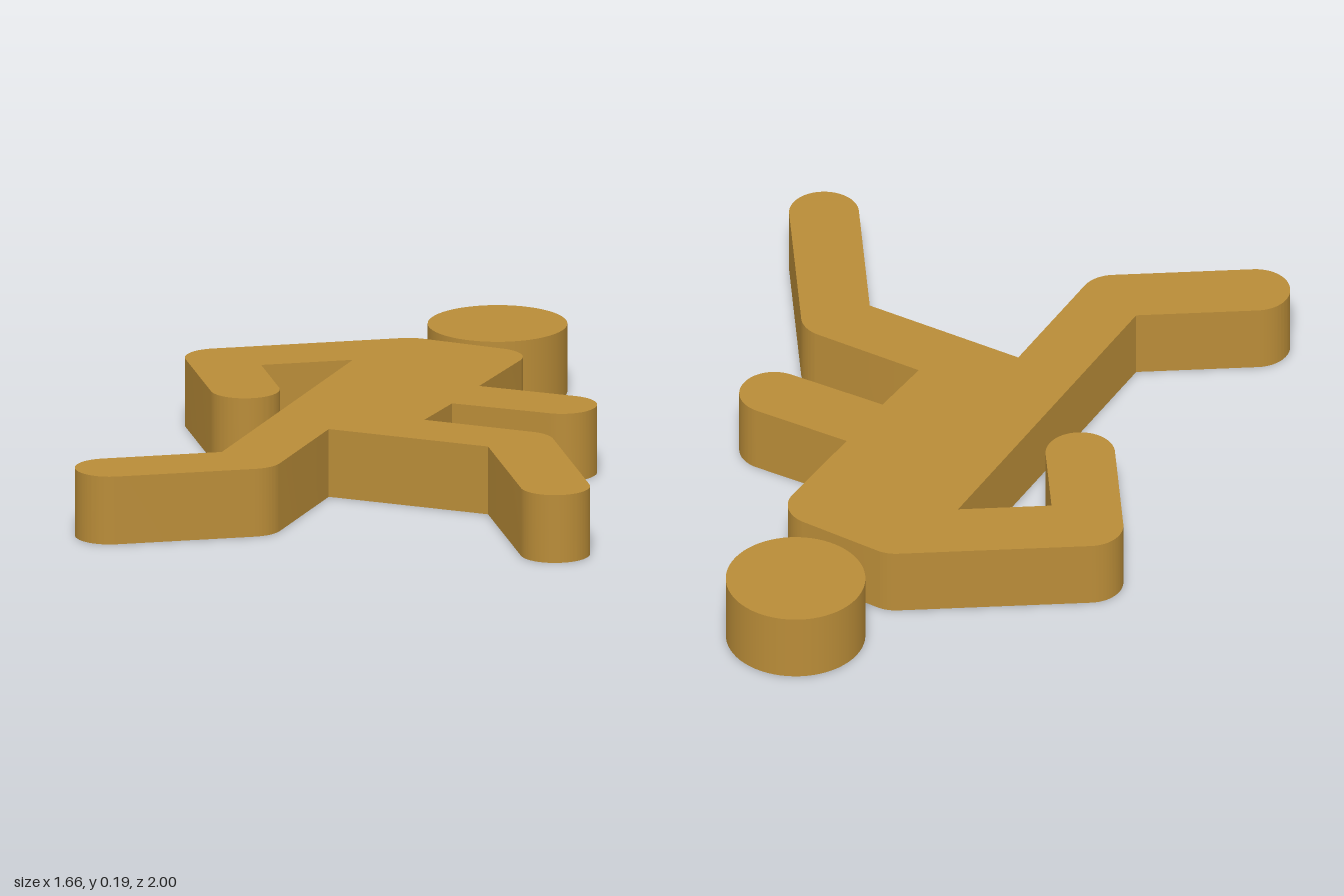
import * as THREE from 'three';
import { toCreasedNormals } from 'three/addons/utils/BufferGeometryUtils.js';

const HEIGHT = 0.195;
const R = 0.096; // rounding of limb ends and joints

// Clockwise outline seen from above: [x, z, rounded]
const OUTLINE = [
  [-0.293, -0.71, 1], [0.372, -0.71, 1], [0.666, -0.488, 1],      // elbow, neck, shoulder
  [0.447, -0.172], [0.766, 0.039, 1], [0.66, 0.202, 1], [0.336, -0.008], // forward arm
  [0.225, 0.146], [0.534, 0.36, 1], [0.534, 1, 1], [0.34, 1, 1], [0.34, 0.458], // front leg
  [-0.055, 0.187], [-0.29, 0.556, 1], [-0.83, 0.556, 1], [-0.83, 0.362, 1], [-0.395, 0.362], // rear leg
  [0.16, -0.513], [-0.1, -0.513], [-0.1, -0.175, 1], [-0.293, -0.175, 1], // rear arm
];

// Polygon whose flagged convex corners become tangent arcs
function roundedOutline(points) {
  const shape = new THREE.Shape();
  const v = points.map(([x, z]) => new THREE.Vector2(x, -z));
  const n = v.length;
  v.forEach((p, i) => {
    const d1 = p.clone().sub(v[(i + n - 1) % n]).normalize();
    const d2 = v[(i + 1) % n].clone().sub(p).normalize();
    if (!points[i][2]) {
      shape.lineTo(p.x, p.y);
      return;
    }
    const t = R * Math.tan(Math.acos(d1.dot(d2)) / 2);
    const n1 = new THREE.Vector2(-d1.y, d1.x);
    const c = p.clone().addScaledVector(d1, -t).addScaledVector(n1, -R);
    const start = c.clone().addScaledVector(n1, R);
    if (i === 0) shape.moveTo(start.x, start.y);
    else shape.lineTo(start.x, start.y);
    shape.absarc(c.x, c.y, R, n1.angle(), Math.atan2(d2.x, -d2.y), true);
  });
  shape.closePath();
  return shape;
}

export function createModel() {
  const group = new THREE.Group();
  group.name = 'runningFigure';
  const material = new THREE.MeshStandardMaterial({ color: 0xb98c38 });

  // Flat body with arms and legs, laid on the ground
  const bodyGeometry = new THREE.ExtrudeGeometry(roundedOutline(OUTLINE), {
    depth: HEIGHT, bevelEnabled: false, curveSegments: 16,
  });
  bodyGeometry.rotateX(-Math.PI / 2);
  const body = new THREE.Mesh(toCreasedNormals(bodyGeometry, 0.5), material);
  body.name = 'body';
  group.add(body);

  // Disc head, separate from the body
  const head = new THREE.Mesh(new THREE.CylinderGeometry(0.194, 0.194, HEIGHT, 64), material);
  head.name = 'head';
  head.position.set(0.632, HEIGHT / 2, -0.806);
  group.add(head);

  return group;
}
